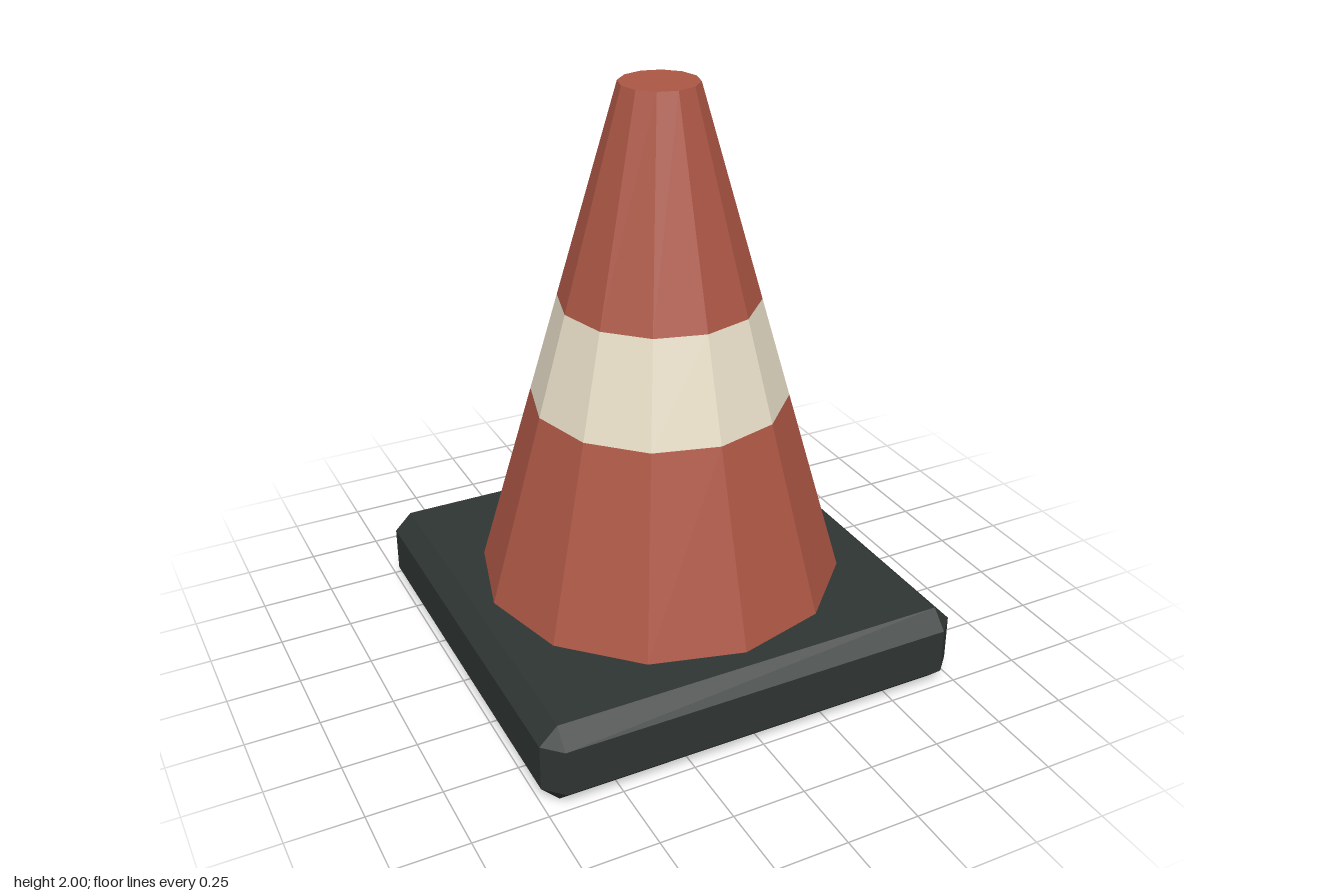
import * as THREE from 'three';
import { ConvexGeometry } from 'three/addons/geometries/ConvexGeometry.js';

const SIDES = 12;
const BASE_TOP = 0.28, TOP = 2;
const radiusAt = (y) => THREE.MathUtils.mapLinear(y, BASE_TOP, TOP, 0.625, 0.13);

function material(color) {
  return new THREE.MeshStandardMaterial({ color, flatShading: true });
}

// One tapered ring of the cone between two heights
function coneSection(name, y0, y1, mat, open) {
  const geometry = new THREE.CylinderGeometry(radiusAt(y1), radiusAt(y0), y1 - y0, SIDES, 1, open);
  const mesh = new THREE.Mesh(geometry, mat);
  mesh.position.y = (y0 + y1) / 2;
  mesh.name = name;
  return mesh;
}

// Box with every edge and corner cut by a flat chamfer
function chamferedBox(half, height, cut) {
  const points = [];
  const inner = half - cut;
  for (const sx of [-1, 1]) for (const sz of [-1, 1]) for (const top of [false, true]) {
    const yEnd = top ? height : 0;
    const ySide = top ? height - cut : cut;
    points.push(
      new THREE.Vector3(sx * inner, yEnd, sz * inner),
      new THREE.Vector3(sx * half, ySide, sz * inner),
      new THREE.Vector3(sx * inner, ySide, sz * half)
    );
  }
  return new ConvexGeometry(points);
}

export function createModel() {
  const group = new THREE.Group();
  group.name = 'trafficCone';
  const red = material(0xac5644);
  const cream = material(0xe6dcc6);
  const dark = material(0x2f3532);

  // Square rubber foot
  const base = new THREE.Mesh(chamferedBox(0.75, BASE_TOP, 0.06), dark);
  base.name = 'base';

  // Cone body with a pale band flush with its surface
  group.add(
    base,
    coneSection('lowerCone', BASE_TOP, 0.94, red, true),
    coneSection('reflectiveBand', 0.94, 1.285, cream, true),
    coneSection('upperCone', 1.285, TOP, red, false)
  );
  return group;
}
